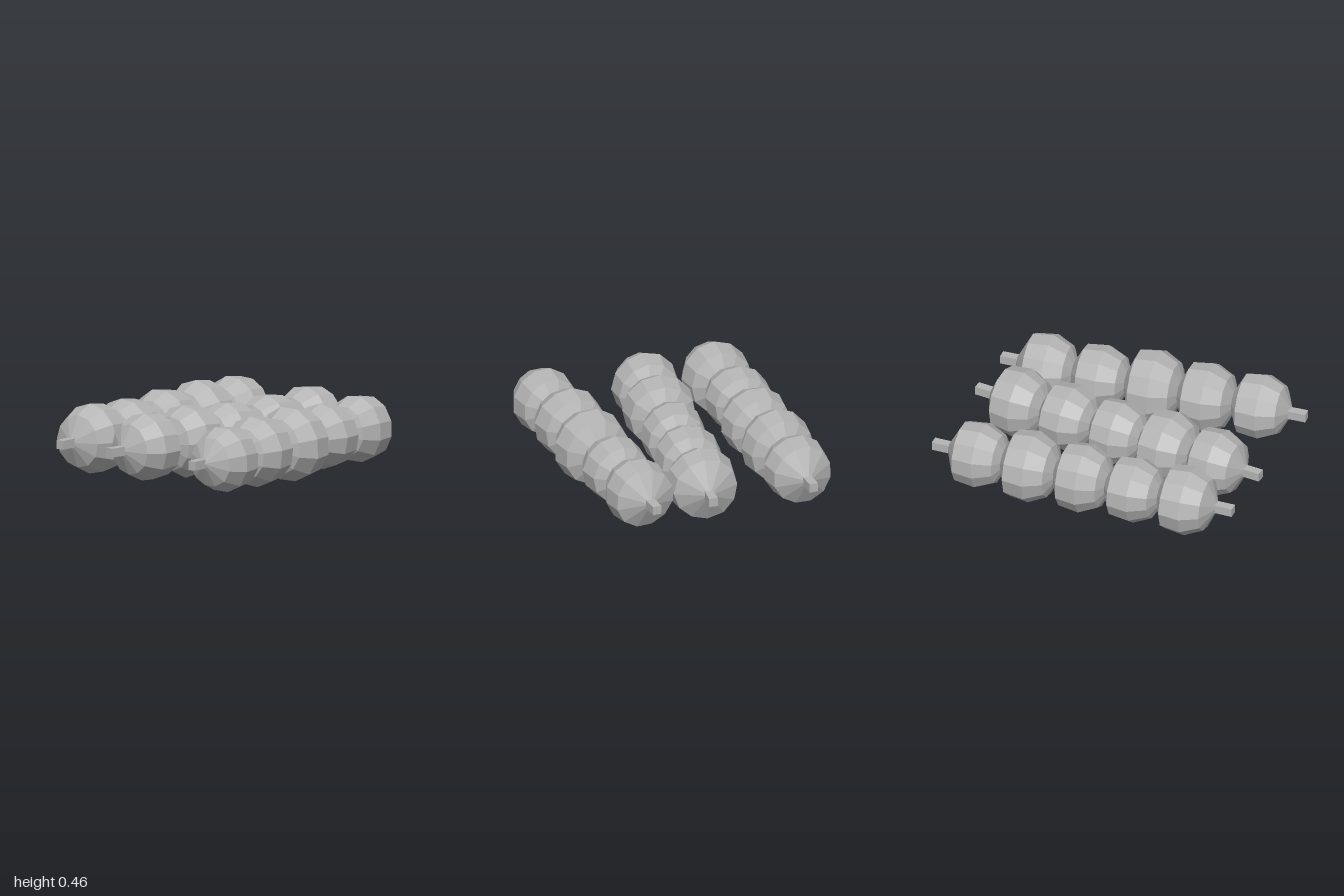
import * as THREE from 'three';

const grey = new THREE.MeshStandardMaterial({ color: 0xb4b4b4 });
grey.name = 'plain grey';

// Seeded random for slight hand-made irregularity
let seed = 7;
const rand = () => (seed = (seed * 16807) % 2147483647) / 2147483647;

// Faceted dumpling: a profile turned around the x axis, slightly uneven
const PROFILE = [[0, -0.21], [0.75, -0.135], [1, -0.02], [0.92, 0.115], [0, 0.215]];

function ballGeometry(radius) {
  const points = PROFILE.map(([r, x]) => new THREE.Vector2(r * radius, x));
  let geo = new THREE.LatheGeometry(points, 12, rand() * Math.PI);
  const lean = rand() * Math.PI * 2;
  const p = geo.attributes.position;
  for (let i = 0; i < p.count; i++) {
    const a = Math.atan2(p.getZ(i), p.getX(i));
    const k = 1 + 0.015 * Math.sin(3 * a + lean);
    p.setX(i, p.getX(i) * k);
    p.setZ(i, p.getZ(i) * k);
  }
  geo.rotateZ(-Math.PI / 2);
  geo = geo.toNonIndexed();
  geo.computeVertexNormals(); // flat facets
  return geo;
}

// Each skewer: stick z at both ends, then ball centres in z and radii
const SKEWERS = [
  { name: 'backSkewer', ends: [-0.505, -0.61], z: [-0.52, -0.55, -0.555, -0.58, -0.595], r: [0.22, 0.207, 0.22, 0.227, 0.208] },
  { name: 'middleSkewer', ends: [-0.09, 0.045], z: [-0.065, -0.037, -0.018, 0, 0.023], r: [0.213, 0.228, 0.203, 0.211, 0.221] },
  { name: 'frontSkewer', ends: [0.61, 0.41], z: [0.595, 0.548, 0.52, 0.478, 0.44], r: [0.205, 0.222, 0.236, 0.205, 0.21] },
];
const BALL_X = [-0.69, -0.345, 0, 0.345, 0.69];
const AXIS_Y = 0.24;

export function createModel() {
  const model = new THREE.Group();
  model.name = 'skeweredBalls';

  for (const { name, ends, z, r } of SKEWERS) {
    const skewer = new THREE.Group();
    skewer.name = name;
    const yaw = -Math.atan2(ends[1] - ends[0], 2);

    // Square stick through the whole row
    const stick = new THREE.Mesh(new THREE.BoxGeometry(1.995, 0.056, 0.056), grey);
    stick.name = 'stick';
    stick.position.set(0, AXIS_Y, (ends[0] + ends[1]) / 2);
    stick.rotation.y = yaw;
    skewer.add(stick);

    // Five balls threaded on the stick
    BALL_X.forEach((x, i) => {
      const ball = new THREE.Mesh(ballGeometry(r[i]), grey);
      ball.name = 'ball' + (i + 1);
      ball.position.set(x, AXIS_Y, z[i]);
      ball.rotation.y = yaw;
      skewer.add(ball);
    });
    model.add(skewer);
  }
  return model;
}
